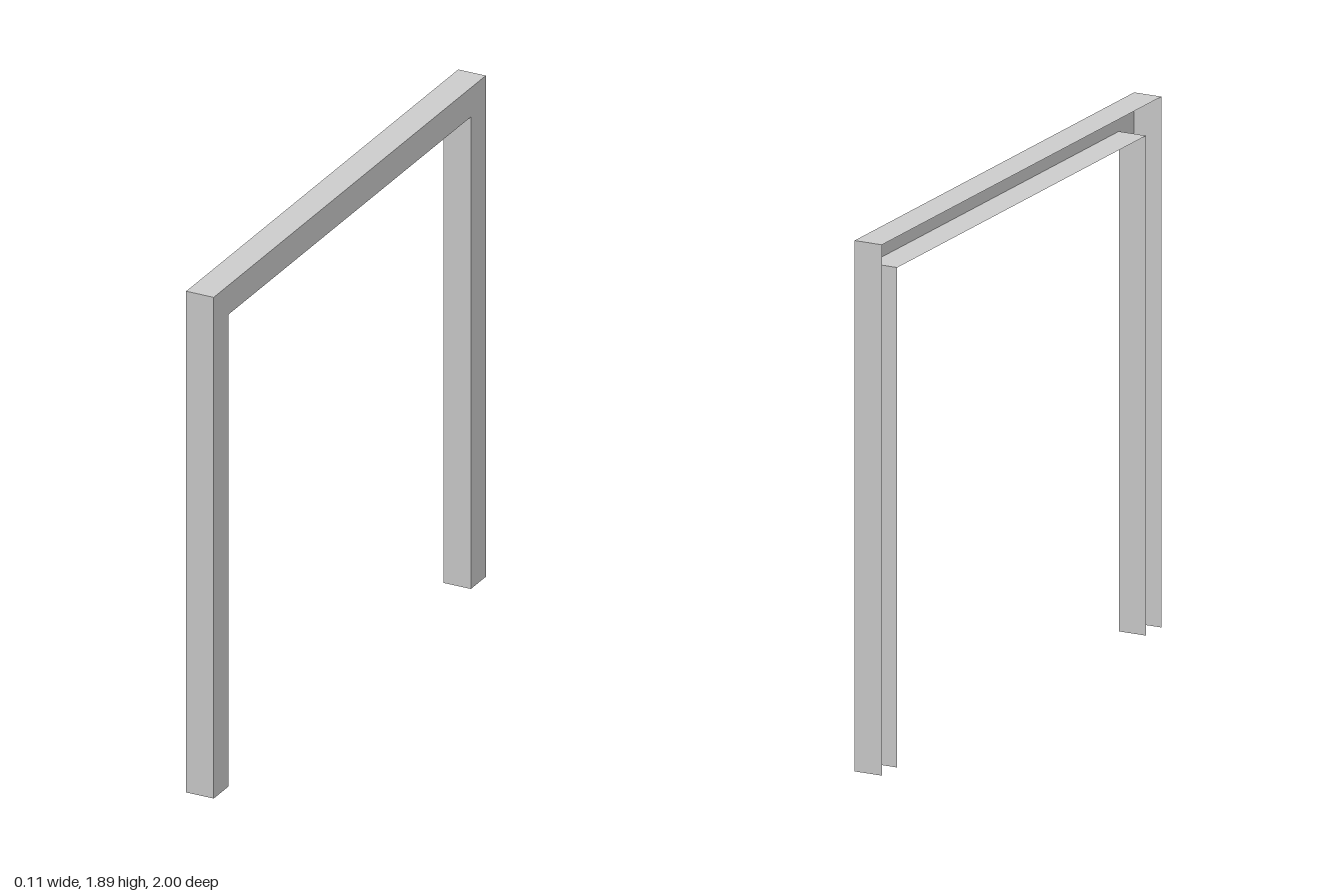
import * as THREE from 'three';

const WIDTH = 0.106;            // channel width along x
const OUTER = { z: 1, y: 1.89 };
const INNER = { z: 0.89, y: 1.78 };

const material = new THREE.MeshStandardMaterial({ color: 0xcccccc, side: THREE.DoubleSide });

// Three flat strips following the legs and lintel; sign = 1 faces outward, -1 faces the opening
function createFlange(name, { z, y }, sign) {
  const flange = new THREE.Group();
  flange.name = name;
  const add = (part, geometry) => {
    const mesh = new THREE.Mesh(geometry, material);
    mesh.name = part;
    flange.add(mesh);
  };
  for (const side of [1, -1]) {
    const leg = new THREE.PlaneGeometry(WIDTH, y);
    if (side * sign < 0) leg.rotateY(Math.PI);
    add(side > 0 ? 'frontLegFlange' : 'backLegFlange', leg.translate(0, y / 2, side * z));
  }
  const lintel = new THREE.PlaneGeometry(WIDTH, 2 * z);
  add('lintelFlange', lintel.rotateX(-sign * Math.PI / 2).translate(0, y, 0));
  return flange;
}

export function createModel() {
  const model = new THREE.Group();
  model.name = 'doorFrame';

  // Flat web joining both flanges on the +x side; the channel is open on the -x side
  const outline = new THREE.Shape([
    [-OUTER.z, 0], [-INNER.z, 0], [-INNER.z, INNER.y], [INNER.z, INNER.y],
    [INNER.z, 0], [OUTER.z, 0], [OUTER.z, OUTER.y], [-OUTER.z, OUTER.y],
  ].map(([z, y]) => new THREE.Vector2(z, y)));
  const web = new THREE.Mesh(
    new THREE.ShapeGeometry(outline).rotateY(Math.PI / 2).translate(WIDTH / 2, 0, 0),
    material,
  );
  web.name = 'web';

  model.add(web, createFlange('outerFlange', OUTER, 1), createFlange('innerFlange', INNER, -1));
  return model;
}
